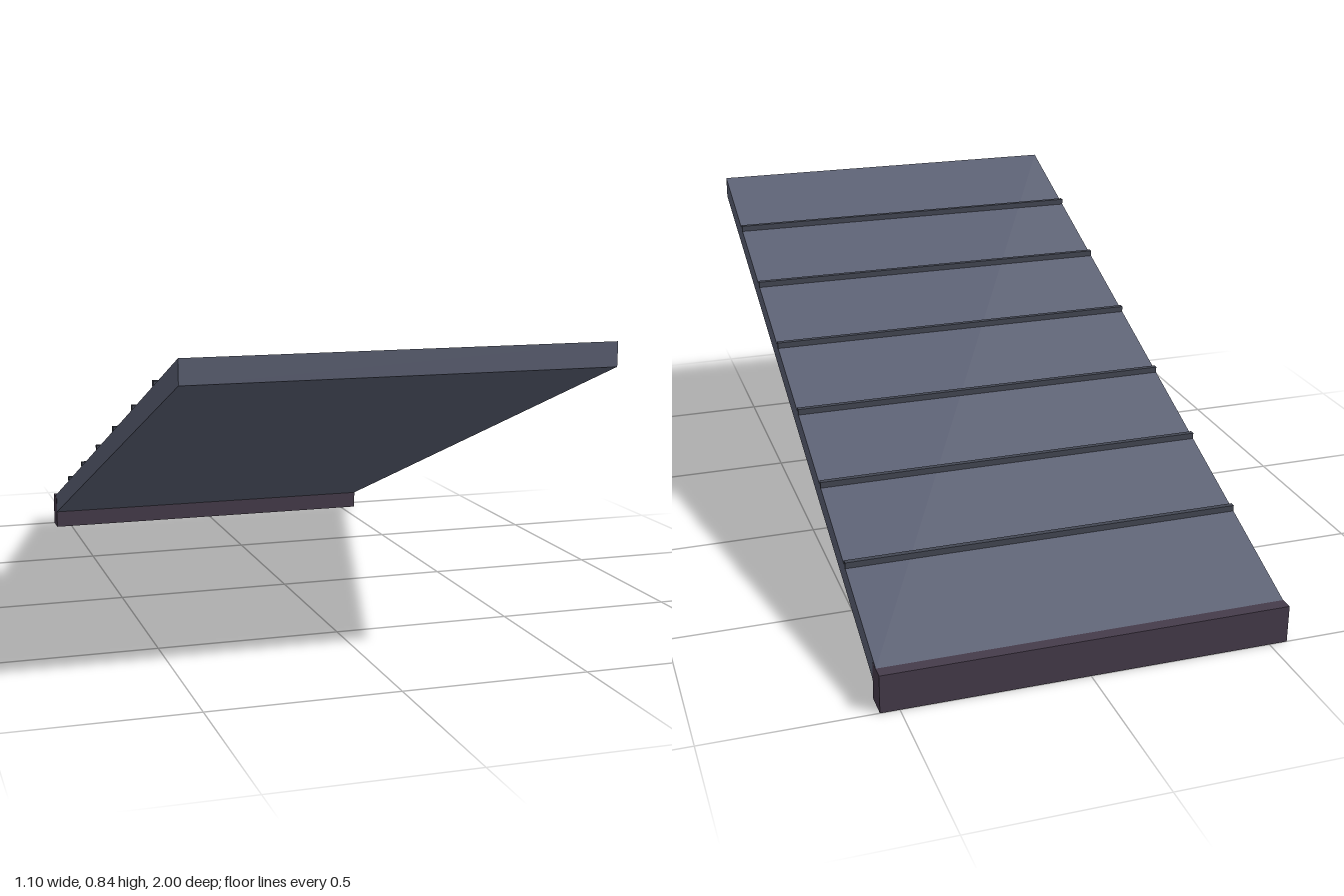
import * as THREE from 'three';

const WIDTH = 1.1;
const SLOPE = 0.374;
const topAt = (z) => 0.84 + (z - 1) * SLOPE; // height of the roof surface

export function createModel() {
  const group = new THREE.Group();
  const slate = new THREE.MeshStandardMaterial({ color: 0x5a5f72 });
  const darkSlate = new THREE.MeshStandardMaterial({ color: 0x434753 });
  const darkWood = new THREE.MeshStandardMaterial({ color: 0x453b4a });

  const add = (name, geometry, material) => {
    const mesh = new THREE.Mesh(geometry, material);
    mesh.name = name;
    group.add(mesh);
    return mesh;
  };

  // Sloping slab with upright ends: a box sheared along the slope
  const zBack = -0.967, thickness = 0.063;
  const slab = new THREE.BoxGeometry(WIDTH, thickness, 1 - zBack);
  slab.translate(0, -thickness / 2, (1 + zBack) / 2);
  const pos = slab.attributes.position;
  for (let i = 0; i < pos.count; i++) {
    pos.setY(i, pos.getY(i) + topAt(pos.getZ(i)));
  }
  slab.computeVertexNormals();
  add('roofSlab', slab, slate);

  // Course strips across the slope
  for (let i = 0; i < 6; i++) {
    const z = -0.652 + i * 0.275;
    const strip = add('courseStrip', new THREE.BoxGeometry(WIDTH, 0.022, 0.015), darkSlate);
    strip.position.set(0, topAt(z) + 0.003, z);
  }

  // Eave board along the low edge
  const board = add('eaveBoard', new THREE.BoxGeometry(WIDTH + 0.001, 0.105, 0.066), darkWood);
  board.position.set(0, 0.0525, -0.967);

  return group;
}
